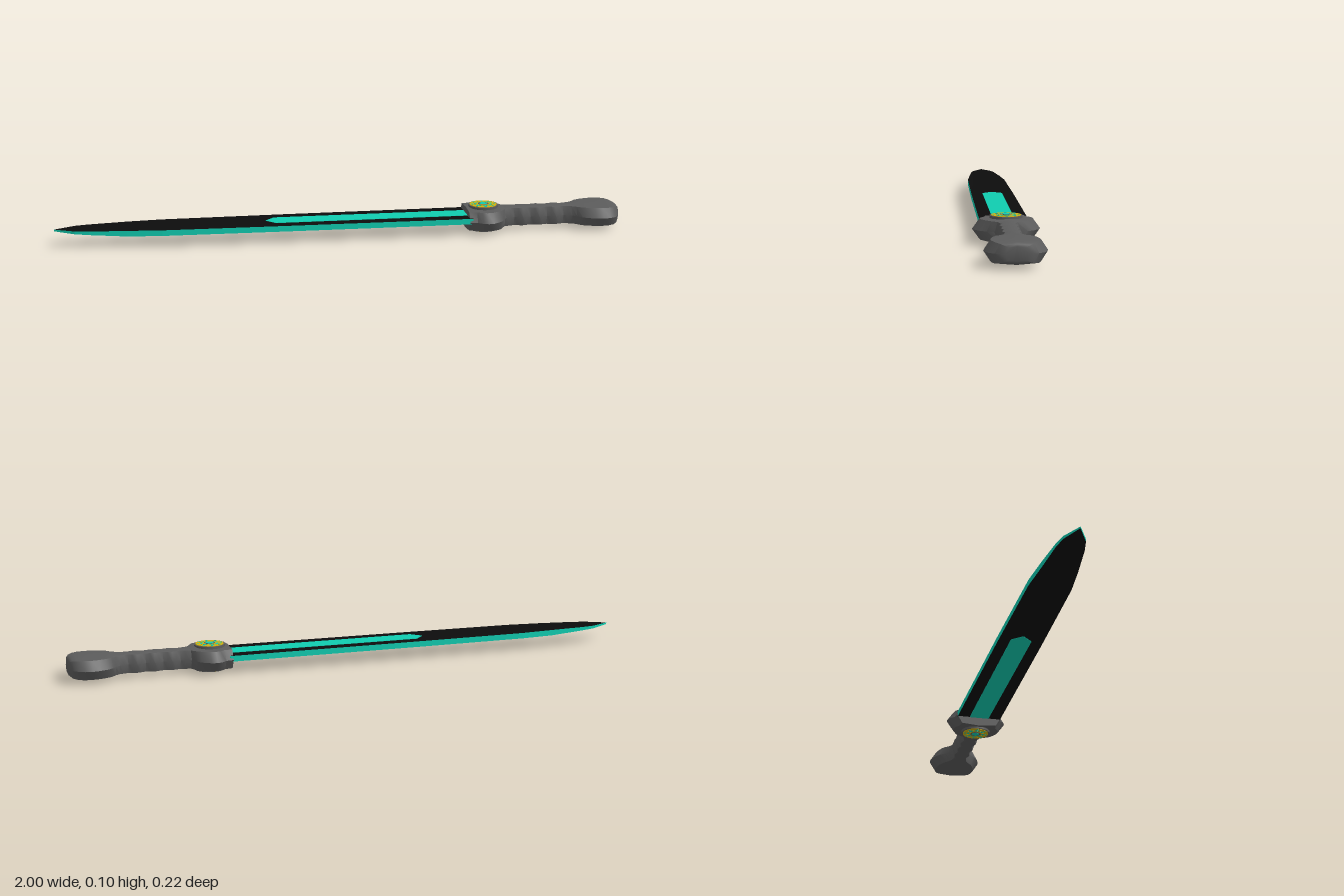
import * as THREE from 'three';
import { toCreasedNormals } from 'three/addons/utils/BufferGeometryUtils.js';

const MID = 0.048; // height of the sword's middle plane

const mat = (name, color) => {
  const m = new THREE.MeshStandardMaterial({ color });
  m.name = name;
  return m;
};

// Loft along x through stations [x, half width, half height], with a ridged, chamfered section
function loft(stations, crease) {
  const pos = [], idx = [];
  const n = 8;
  for (const [x, w, h] of stations) {
    const c = w * 0.8 - 0.002, s = h * 0.86;
    const ring = [[h, 0], [s, c], [0, w], [-s, c], [-h, 0], [-s, -c], [0, -w], [s, -c]];
    for (const [y, z] of ring) pos.push(x, MID + y, z);
  }
  const last = (stations.length - 1) * n;
  for (let i = 0; i < last; i += n) {
    for (let j = 0; j < n; j++) {
      const k = (j + 1) % n;
      idx.push(i + j, i + k, i + n + k, i + j, i + n + k, i + n + j);
    }
  }
  for (let j = 1; j < n - 1; j++) {
    idx.push(0, j + 1, j, last, last + j, last + j + 1);
  }
  const g = new THREE.BufferGeometry();
  g.setAttribute('position', new THREE.Float32BufferAttribute(pos, 3));
  g.setIndex(idx);
  return toCreasedNormals(g, crease);
}

// Flat plate from half an outline of [x, half width], mirrored in z and centred on y = 0
function plate(half, depth) {
  const pts = half.map(([x, w]) => new THREE.Vector2(x, w));
  for (const [x, w] of [...half].reverse()) if (w > 0) pts.push(new THREE.Vector2(x, -w));
  const g = new THREE.ExtrudeGeometry(new THREE.Shape(pts), { depth, bevelEnabled: false });
  g.translate(0, 0, -depth / 2);
  g.rotateX(-Math.PI / 2);
  return g;
}

export function createModel() {
  const grey = mat('hilt grey', 0x5c5c5c);
  const black = mat('blade black', 0x0d0d0d);
  const teal = mat('glowing teal', 0x10ccb0);
  const gold = mat('emblem gold', 0xd0b010);
  const root = new THREE.Group();
  root.name = 'sword';
  const add = (parent, name, geometry, material) => {
    const m = new THREE.Mesh(geometry, material);
    m.name = name;
    parent.add(m);
    return m;
  };

  // Blade: black faces with a teal rim, thinning towards the tip
  const blade = plate([[-1, 0], [-0.93, 0.036], [-0.88, 0.046], [-0.75, 0.06],
    [-0.63, 0.071], [-0.2, 0.077], [0.46, 0.081]], 0.02);
  const p = blade.attributes.position;
  for (let i = 0; i < p.count; i++) {
    const t = THREE.MathUtils.clamp((p.getX(i) + 1) / 0.25, 0, 1);
    p.setY(i, MID + 0.005 * (1 - t) + p.getY(i) * (0.3 + 0.7 * t) + 0.004);
  }
  blade.computeVertexNormals();
  add(root, 'blade', blade, [black, teal]);

  // Teal inlay on both faces of the blade
  for (const s of [1, -1]) {
    const inlay = plate([[-0.268, 0], [-0.235, 0.036], [0.46, 0.036]], 0.002);
    add(root, s > 0 ? 'inlayTop' : 'inlayBottom', inlay, teal).position.y = MID + 0.004 + s * 0.0102;
  }

  // Guard
  add(root, 'guard', loft([[0.448, 0.083, 0.038], [0.475, 0.088, 0.039], [0.492, 0.104, 0.039],
    [0.51, 0.11, 0.039], [0.53, 0.106, 0.039], [0.56, 0.085, 0.039], [0.572, 0.066, 0.038],
    [0.585, 0.04, 0.037]], 0.5), grey);

  // Grip with finger waves, swelling into the pommel
  const hilt = [[0.57, 0.046, 0.037]];
  for (let i = 0; i <= 16; i++) {
    const x = 0.59 + i * 0.015;
    hilt.push([x, 0.035 + 0.005 * Math.cos((i / 4) * Math.PI * 2), 0.037]);
  }
  hilt.push([0.845, 0.052, 0.037], [0.86, 0.07, 0.038], [0.88, 0.083, 0.038], [0.905, 0.092, 0.038],
    [0.93, 0.097, 0.038], [0.955, 0.093, 0.038], [0.975, 0.083, 0.037], [0.99, 0.066, 0.034],
    [0.997, 0.05, 0.029], [1, 0.036, 0.022]);
  add(root, 'gripAndPommel', loft(hilt, 0.6), grey);

  // Round emblem on both sides of the guard
  for (const s of [1, -1]) {
    const emblem = new THREE.Group();
    emblem.name = s > 0 ? 'emblemTop' : 'emblemBottom';
    const disc = (name, r, y, h, m) =>
      add(emblem, name, new THREE.CylinderGeometry(r, r, h, 32), m).position.y = y;
    disc('emblemBase', 0.053, 0.034, 0.02, grey);
    disc('emblemGoldDisc', 0.048, 0.0445, 0.002, gold);
    disc('emblemTealRing', 0.032, 0.0455, 0.0015, teal);
    disc('emblemGoldRing', 0.024, 0.0461, 0.0015, gold);
    disc('emblemGreyRing', 0.019, 0.0466, 0.0015, grey);
    disc('emblemCentre', 0.014, 0.0472, 0.0015, teal);
    // Small teal marks around the gold rim and gold spokes across the teal ring
    for (let i = 0; i < 8; i++) {
      const a = (i / 8) * Math.PI * 2;
      const mark = add(emblem, 'emblemMark', new THREE.BoxGeometry(0.006, 0.001, 0.008), teal);
      mark.position.set(Math.cos(a) * 0.04, 0.046, Math.sin(a) * 0.04);
      const b = a + Math.PI / 8;
      const spoke = add(emblem, 'emblemSpoke', new THREE.BoxGeometry(0.01, 0.001, 0.006), gold);
      spoke.position.set(Math.cos(b) * 0.028, 0.0464, Math.sin(b) * 0.028);
      mark.rotation.y = -a;
      spoke.rotation.y = -b;
    }
    emblem.position.set(0.512, MID, 0);
    if (s < 0) emblem.rotation.x = Math.PI;
    root.add(emblem);
  }
  return root;
}
